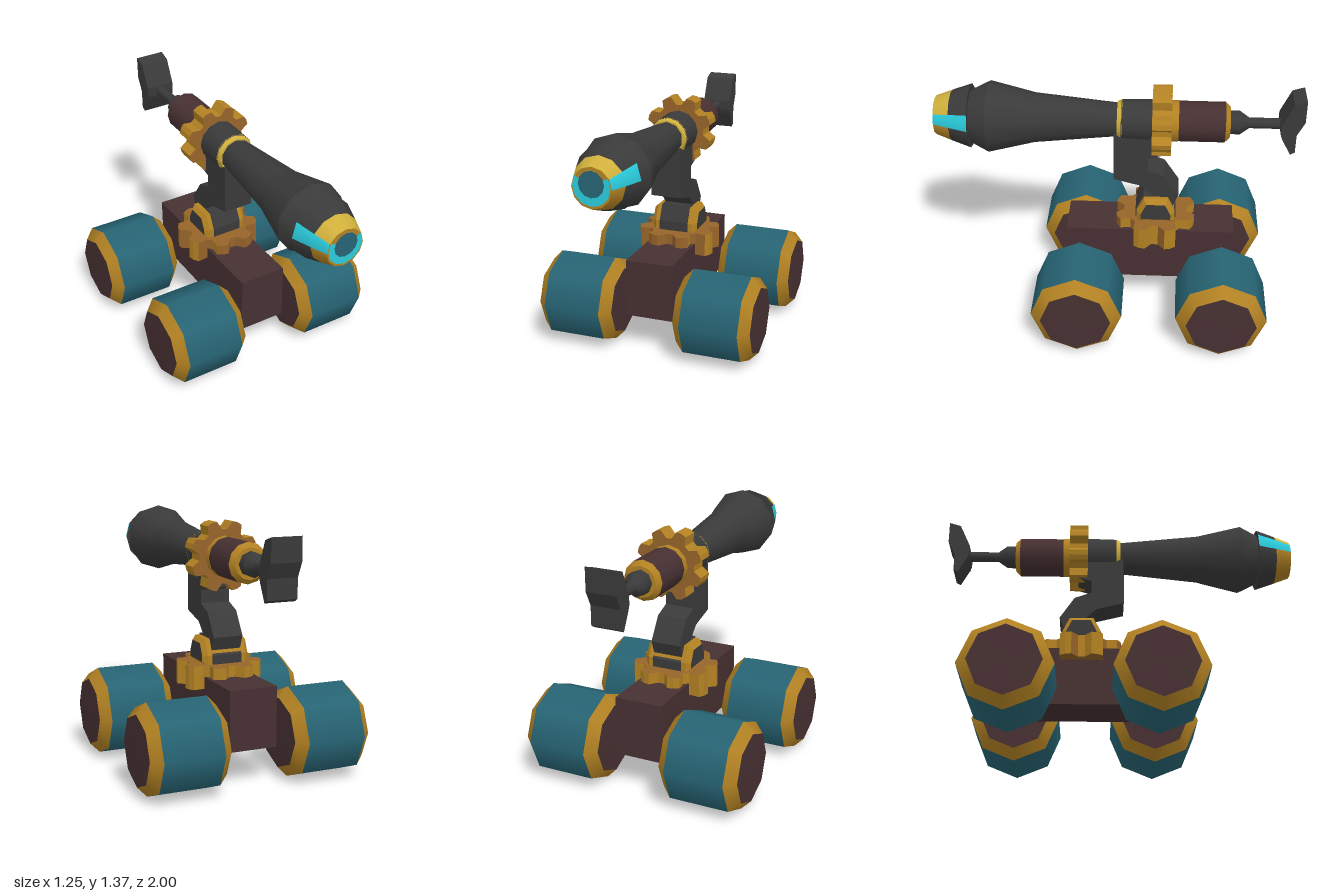
import * as THREE from 'three';

const mat = (name, color) => Object.assign(new THREE.MeshStandardMaterial({ color }), { name });
const teal = mat('teal', 0x276474), gold = mat('gold', 0xb38223), brown = mat('bronze', 0x97642a);
const maroon = mat('maroon', 0x473032), dark = mat('charcoal', 0x3a3a3a);
const yellow = mat('yellow', 0xd0b03c), cyan = mat('cyan', 0x2accdd);

const AXIS = 1.17; // height of the barrel axis
const TURN = -0.215; // z of the turntable axis

export function createModel() {
  const model = new THREE.Group();
  model.name = 'wheeledCannon';
  const add = (name, geo, material, x = 0, y = 0, z = 0, parent = model) => {
    const mesh = new THREE.Mesh(geo, material);
    mesh.name = name;
    mesh.position.set(x, y, z);
    parent.add(mesh);
    return mesh;
  };

  // Tapered round section on the barrel axis, from z0 (radius r0) to z1 (radius r1), z1 > z0
  const section = (name, material, z0, r0, z1, r1, sides = 10) => {
    const geo = new THREE.CylinderGeometry(r1, r0, z1 - z0, sides).rotateX(Math.PI / 2);
    return add(name, geo, material, 0, AXIS, (z0 + z1) / 2);
  };

  // Side profile given as [z, y] points, extruded across x
  const profile = (points, halfWidth, bevel = 0) => {
    const shape = new THREE.Shape(points.map(([z, y]) => new THREE.Vector2(z, y)));
    const depth = 2 * (halfWidth - bevel);
    return new THREE.ExtrudeGeometry(shape, {
      depth, bevelEnabled: bevel > 0, bevelSegments: 1,
      bevelThickness: bevel, bevelSize: bevel, bevelOffset: -bevel,
    }).translate(0, 0, -depth / 2).rotateY(-Math.PI / 2);
  };

  // Eight-lobed gear in the xy plane
  const gear = (tip, valley, depth) => {
    const pts = [];
    for (let i = 0; i < 8; i++) {
      for (const [deg, r] of [[-6, valley], [6, valley], [14, tip * 0.985], [22.5, tip], [31, tip * 0.985]]) {
        const a = THREE.MathUtils.degToRad(i * 45 + deg);
        pts.push(new THREE.Vector2(r * Math.cos(a), r * Math.sin(a)));
      }
    }
    return new THREE.ExtrudeGeometry(new THREE.Shape(pts), { depth, bevelEnabled: false }).translate(0, 0, -depth / 2);
  };

  // Chassis
  add('chassis', new THREE.BoxGeometry(0.27, 0.33, 0.945), maroon, 0, 0.363, -0.188);

  // Four octagonal wheels with bevelled rims and hub caps
  for (const x of [-0.401, 0.401]) {
    for (const z of [0.203, -0.592]) {
      const wheel = new THREE.Group();
      wheel.name = 'wheel';
      wheel.position.set(x, 0.25, z);
      model.add(wheel);
      const tyre = new THREE.CylinderGeometry(0.25, 0.25, 0.33, 8, 1, true).rotateZ(-Math.PI / 2);
      add('tyre', tyre, teal, 0, 0, 0, wheel);
      for (const s of [-1, 1]) {
        const rim = new THREE.CylinderGeometry(0.193, 0.25, 0.055, 8, 1, true).rotateZ(-s * Math.PI / 2);
        add('rim', rim, gold, s * 0.1925, 0, 0, wheel);
        const hub = new THREE.ConeGeometry(0.193, 0.004, 8, 1, true).rotateZ(-s * Math.PI / 2);
        add('hubCap', hub, maroon, s * 0.222, 0, 0, wheel);
      }
    }
  }

  // Turntable: bronze top and front, gold around the rest of the rim
  const table = gear(0.232, 0.178, 0.13).rotateX(-Math.PI / 2);
  table.clearGroups();
  const normals = table.attributes.normal;
  for (let i = 0; i < normals.count; i += 3) {
    const isBronze = Math.abs(normals.getY(i)) > 0.5 || normals.getZ(i) > 0.6;
    table.addGroup(i, 3, isBronze ? 0 : 1);
  }
  add('turntable', table, [brown, gold], 0, 0.525, TURN);

  // Pivot cheeks: dark faces with gold bevelled edges
  const arch = [[-0.11, 0.58], [-0.325, 0.58], [-0.325, 0.64], [-0.285, 0.725], [-0.15, 0.725], [-0.11, 0.64]];
  add('pivotCheeks', profile(arch, 0.135, 0.024), [dark, gold]);

  // Cranked arm from the pivot up to the barrel
  add('arm', profile([
    [-0.104, 0.58], [-0.104, 0.645], [-0.147, 0.732], [-0.2, 0.732], [-0.135, 0.795], [0.02, 0.835], [0.02, 1.12],
    [-0.24, 1.12], [-0.24, 0.995], [-0.165, 0.975], [-0.165, 0.9], [-0.26, 0.865], [-0.342, 0.74],
    [-0.31, 0.66], [-0.33, 0.64], [-0.33, 0.58],
  ], 0.085), dark);

  // Barrel, from the swollen muzzle back to the tail
  section('barrelMuzzle', dark, 0.7, 0.196, 0.8, 0.145);
  section('barrelBulge', dark, 0.45, 0.136, 0.7, 0.196);
  section('barrelTaper', dark, 0, 0.092, 0.45, 0.136);
  section('barrelBand', yellow, -0.025, 0.112, 0.002, 0.1, 12);
  section('barrelCollar', dark, -0.2, 0.115, -0.02, 0.111, 12);
  add('barrelGear', gear(0.195, 0.148, 0.105), [brown, gold], 0, AXIS, -0.24);
  section('rearBand', gold, -0.33, 0.112, -0.28, 0.112, 12);
  section('rearDrum', maroon, -0.58, 0.11, -0.325, 0.11, 12);
  section('rearRim', gold, -0.607, 0.085, -0.58, 0.11, 12);
  section('tailCollar', dark, -0.66, 0.066, -0.6, 0.066, 8);
  section('tailTaper', dark, -0.71, 0.03, -0.66, 0.066, 8);
  section('tailRod', dark, -0.9, 0.03, -0.7, 0.03, 8);

  // Tail handle
  add('tailHandle', profile([
    [-0.876, 1.145], [-0.876, 1.2], [-0.935, 1.33], [-1, 1.35], [-1, 1.225],
    [-0.96, 1.145], [-0.96, 1.04], [-0.935, 1.025], [-0.885, 1.12],
  ], 0.083), dark);

  // Nozzle: coloured sectors [start degree, degrees, rear colour, front colour]
  const rad = THREE.MathUtils.degToRad;
  const sectors = [[0, 30, cyan, cyan], [30, 120, dark, yellow], [150, 30, cyan, cyan], [180, 180, dark, gold]];
  for (const [start, sweep, rear, front] of sectors) {
    for (const [z0, r0, z1, r1, m] of [[0.8, 0.175, 0.905, 0.139, rear], [0.905, 0.139, 0.994, 0.106, front]]) {
      const geo = new THREE.CylinderGeometry(r1, r0, z1 - z0, sweep / 30, 1, true, rad(start + 90), rad(sweep));
      add('nozzlePanel', geo.rotateX(Math.PI / 2), m, 0, AXIS, (z0 + z1) / 2);
    }
  }
  add('nozzleBack', new THREE.CircleGeometry(0.175, 12).rotateY(Math.PI), dark, 0, AXIS, 0.8);

  // Nozzle face and lens
  add('nozzleFace', new THREE.CircleGeometry(0.106, 12), gold, 0, AXIS, 0.994);
  add('lensGlow', new THREE.CircleGeometry(0.1, 8, rad(150), rad(240)), cyan, 0, AXIS + 0.008, 0.997);
  add('lens', new THREE.CircleGeometry(0.068, 12), teal, 0, AXIS + 0.02, 1);

  return model;
}
